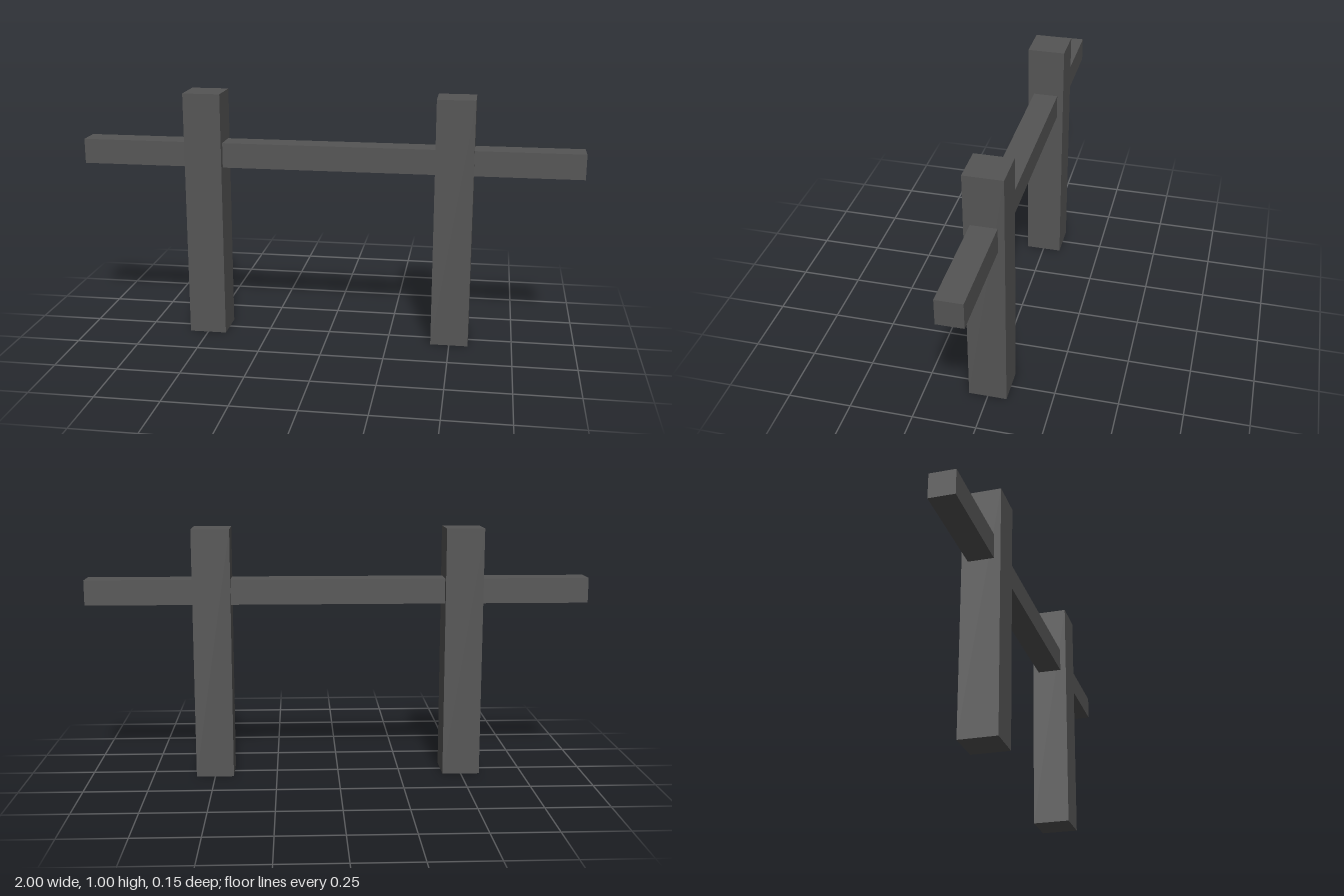
import * as THREE from 'three';

export function createModel() {
  const model = new THREE.Group();
  model.name = 'railFence';

  const darkGrey = new THREE.MeshStandardMaterial({ color: 0x555555 });
  darkGrey.name = 'dark grey';

  const addBox = (name, [w, h, d], [x, y, z]) => {
    const mesh = new THREE.Mesh(new THREE.BoxGeometry(w, h, d), darkGrey);
    mesh.name = name;
    mesh.position.set(x, y, z);
    model.add(mesh);
  };

  // Two upright posts
  for (const [name, side] of [['leftPost', 1], ['rightPost', -1]]) {
    addBox(name, [0.15, 1, 0.15], [side * 0.5, 0.5, 0]);
  }

  // Horizontal rail running through both posts
  addBox('rail', [2, 0.1, 0.1], [0, 0.75, 0]);

  return model;
}
